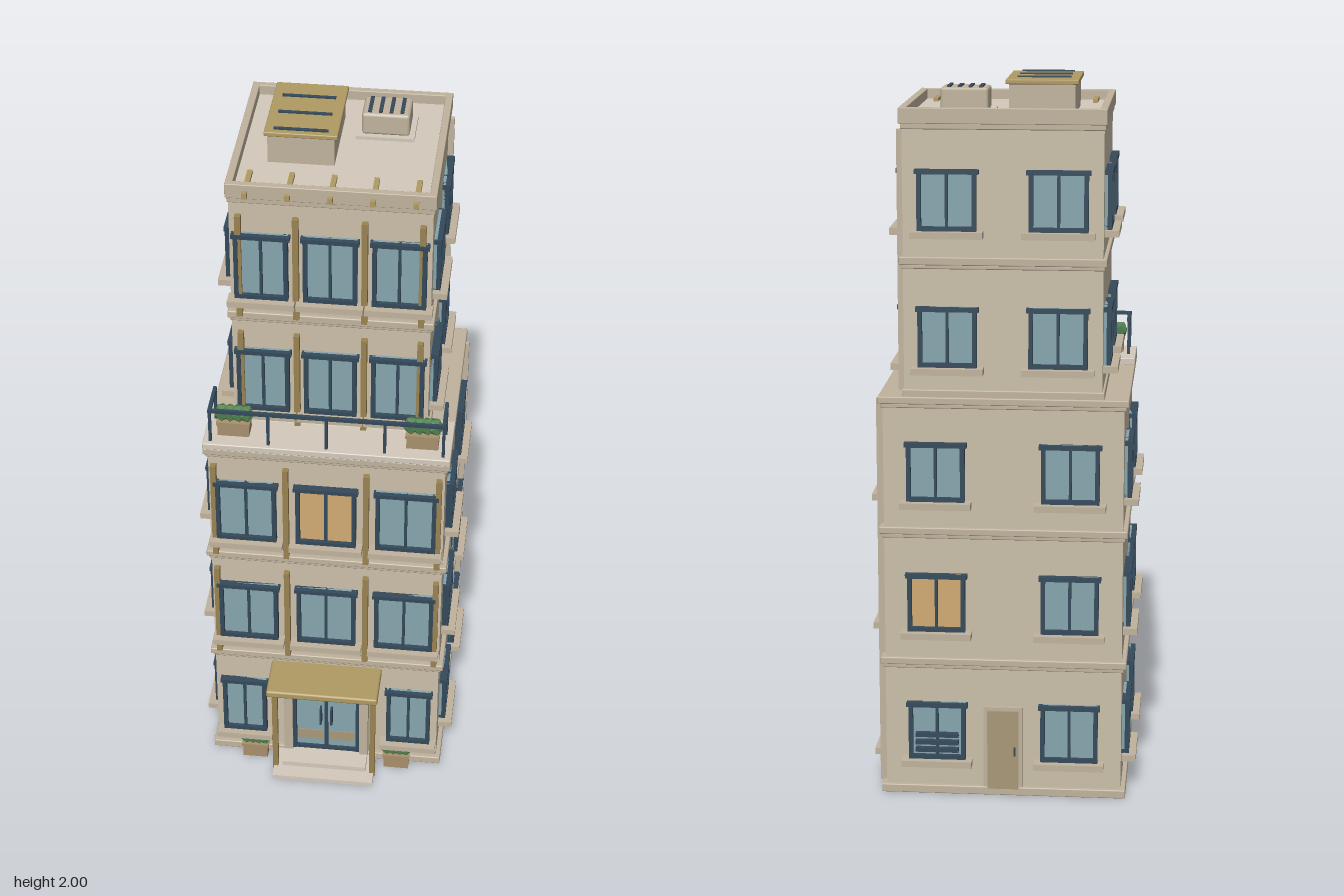
import * as THREE from 'three';
import { RoundedBoxGeometry } from 'three/addons/geometries/RoundedBoxGeometry.js';

const mat = (color) => new THREE.MeshStandardMaterial({ color });
const M = {
  wall: mat(0xcbbfa9), trim: mat(0xc0b39d), pale: mat(0xd3cabc), gold: mat(0xb09a62), bronze: mat(0x9a8352),
  dark: mat(0x34495a), glass: mat(0x86a5ae), lit: mat(0xd1ab72), leaf: mat(0x4f7f4f), pot: mat(0xa8906c),
  door: mat(0xa89878),
};

// Box given by its min and max corners
function box(parent, name, m, x0, x1, y0, y1, z0, z1, round = 0) {
  const w = x1 - x0, h = y1 - y0, d = z1 - z0;
  const geo = round ? new RoundedBoxGeometry(w, h, d, 1, round) : new THREE.BoxGeometry(w, h, d);
  const mesh = new THREE.Mesh(geo, m);
  mesh.position.set((x0 + x1) / 2, (y0 + y1) / 2, (z0 + z1) / 2);
  mesh.name = name;
  parent.add(mesh);
  return mesh;
}

function group(parent, name, x = 0, y = 0, z = 0, ry = 0) {
  const g = new THREE.Group();
  g.name = name;
  g.position.set(x, y, z);
  g.rotation.y = ry;
  parent.add(g);
  return g;
}

// Window with its bottom centre at the group origin, facing local +z
function windowUnit(parent, name, x, y, z, ry, w, h, bars, glass = M.glass) {
  const g = group(parent, name, x, y, z, ry), a = w / 2, t = 0.012;
  box(g, 'pane', glass, -a, a, 0, h, -0.005, 0.008);
  for (const s of [-1, 1]) box(g, 'frameSide', M.dark, s * (a - t / 2) - t / 2, s * (a - t / 2) + t / 2, 0, h, 0, 0.02);
  box(g, 'frameBottom', M.dark, -a, a, 0, t, 0, 0.02);
  box(g, 'frameTop', M.dark, -a - 0.006, a + 0.006, h - t, h, 0, 0.022);
  for (let i = 1; i <= bars; i++) {
    const bx = -a + (w * i) / (bars + 1);
    box(g, 'mullion', M.dark, bx - 0.004, bx + 0.004, 0, h, 0, 0.016);
  }
  box(g, 'sill', M.trim, -a - 0.018, a + 0.018, -0.018, 0, -0.005, 0.04);
  return g;
}

// Planter box with a row of faceted shrubs
function planter(parent, name, x, y, z, w, h, d, r) {
  const g = group(parent, name, x, y, z);
  box(g, 'pot', M.pot, -w / 2, w / 2, 0, h, -d / 2, d / 2);
  box(g, 'potRim', M.pot, -w / 2 - 0.003, w / 2 + 0.003, h - 0.01, h, -d / 2 - 0.003, d / 2 + 0.003);
  const leaf = M.leaf.clone();
  leaf.flatShading = true;
  for (let i = 0; i < 4; i++) {
    const shrub = new THREE.Mesh(new THREE.IcosahedronGeometry(r, 0), leaf);
    shrub.name = 'shrub';
    shrub.scale.set(0.85, 1, d / r / 2.1);
    shrub.rotation.y = i * 0.15;
    shrub.position.set((i - 1.5) * (w / 4), h + r * 0.55, 0);
    g.add(shrub);
  }
}

export function createModel() {
  const root = new THREE.Group();
  root.name = 'building';
  const back = -0.365;
  const low = { x: 0.33, z: 0.27 }, up = { x: 0.27, z: 0.155 };

  // Wall blocks, plinth and floor bands
  box(root, 'lowerWalls', M.wall, -low.x, low.x, 0, 1.14, back, low.z);
  box(root, 'upperWalls', M.wall, -up.x, up.x, 1.14, 1.9, back, up.z);
  const band = (name, b, y0, y1, o) => box(root, name, M.trim, -b.x - o, b.x + o, y0, y1, back - o, b.z + o, 0.003);
  band('plinth', low, 0, 0.024, 0.013);
  for (const y of [0.38, 0.757, 1.125]) {
    band('floorBand', low, y, y + 0.02, 0.013);
    band('floorBandLower', low, y - 0.012, y + 0.001, 0.006);
  }
  band('upperBase', up, 1.14, 1.165, 0.006);
  band('floorBand', up, 1.508, 1.53, 0.01);
  band('floorBandLower', up, 1.497, 1.509, 0.004);
  band('cornice', up, 1.872, 1.89, 0.004);

  // Windows and pilasters on every storey
  const baseY = [0, 0.375, 0.748, 1.125, 1.497];
  baseY.forEach((y, f) => {
    const lower = f < 3, b = lower ? low : up;
    const fx = lower ? 0.225 : 0.185;
    const fw = f === 0 ? 0.13 : lower ? 0.17 : 0.145;
    for (const s of [-1, 0, 1]) {
      if (f === 0 && s === 0) continue;
      const px = f === 0 ? s * 0.245 : s * fx;
      windowUnit(root, 'frontWindow', px, y + 0.085, b.z, 0, fw, 0.2, 1, f === 2 && s === 0 ? M.lit : M.glass);
    }
    if (f > 0) {
      for (const px of lower ? [-0.315, -0.113, 0.113, 0.315] : [-0.245, -0.092, 0.092, 0.245]) {
        box(root, 'pilaster', M.bronze, px - 0.008, px + 0.008, y + 0.024, y + 0.34, b.z - 0.002, b.z + 0.018);
      }
    }
    for (const s of [-1, 1]) {
      for (const z of lower ? [0.118, -0.22] : [0.03, -0.245]) {
        windowUnit(root, 'sideWindow', s * b.x, y + 0.105, z, (s * Math.PI) / 2, 0.15, 0.16, 2);
      }
      const g = windowUnit(root, 'backWindow', s * (lower ? 0.185 : 0.15), y + 0.105, back, Math.PI, 0.16, 0.165, 1,
        f === 1 && s === 1 ? M.lit : M.glass);
      if (f === 0 && s === 1) {
        for (let i = 0; i < 3; i++) box(g, 'louver', M.dark, -0.06, 0.06, 0.022 + i * 0.022, 0.034 + i * 0.022, 0, 0.024);
      }
    }
  });

  // Back door
  box(root, 'backDoorFrame', M.trim, -0.055, 0.055, 0.02, 0.26, back - 0.01, back);
  box(root, 'backDoor', M.door, -0.044, 0.044, 0.02, 0.25, back - 0.016, back);
  box(root, 'backDoorHandle', M.dark, -0.036, -0.03, 0.12, 0.145, back - 0.022, back);

  // Drain pipes near the right rear corner
  box(root, 'drainPipe', M.trim, 0.33, 0.352, 0.02, 1.13, -0.335, -0.318);
  box(root, 'drainPipe', M.trim, 0.27, 0.286, 1.16, 1.87, -0.355, -0.338);

  // Entrance: steps, surround, double door, canopy on posts
  const e = group(root, 'entrance');
  box(e, 'stepLower', M.pale, -0.15, 0.15, 0, 0.014, 0.27, 0.4);
  box(e, 'stepUpper', M.pale, -0.125, 0.125, 0.014, 0.03, 0.27, 0.355);
  for (const s of [-1, 1]) {
    box(e, 'doorSurround', M.trim, s * 0.113 - 0.013, s * 0.113 + 0.013, 0.02, 0.345, 0.265, 0.3);
    box(e, 'doorFrame', M.dark, s * 0.095 - 0.006, s * 0.095 + 0.006, 0.03, 0.33, 0.265, 0.292);
    box(e, 'doorLeaf', M.glass, s * 0.047 - 0.045, s * 0.047 + 0.045, 0.03, 0.325, 0.265, 0.28);
    box(e, 'kickPanel', M.door, s * 0.047 - 0.038, s * 0.047 + 0.038, 0.065, 0.1, 0.27, 0.283);
    box(e, 'doorHandle', M.dark, s * 0.016 - 0.003, s * 0.016 + 0.003, 0.14, 0.2, 0.28, 0.3);
    box(e, 'canopyPost', M.bronze, s * 0.145 - 0.008, s * 0.145 + 0.008, 0, 0.34, 0.343, 0.359);
  }
  box(e, 'doorFrameTop', M.dark, -0.1, 0.1, 0.318, 0.33, 0.265, 0.292);
  box(e, 'doorFrameBottom', M.dark, -0.1, 0.1, 0.03, 0.04, 0.265, 0.29);
  box(e, 'doorMeeting', M.dark, -0.005, 0.005, 0.03, 0.325, 0.265, 0.288);
  box(e, 'lintel', M.trim, -0.126, 0.126, 0.33, 0.345, 0.265, 0.3);
  box(e, 'canopy', M.gold, -0.163, 0.163, 0.337, 0.36, 0.265, 0.406, 0.006);

  // Terrace with railing
  const t = group(root, 'terrace');
  box(t, 'terraceSlab', M.pale, -0.343, 0.343, 1.143, 1.163, 0.1, 0.283, 0.003);
  box(t, 'frontRail', M.dark, -0.327, 0.327, 1.26, 1.27, 0.26, 0.27);
  for (const s of [-1, 1]) {
    box(t, 'sideRail', M.dark, s * 0.322 - 0.005, s * 0.322 + 0.005, 1.26, 1.27, 0.158, 0.27);
    box(t, 'railPost', M.dark, s * 0.322 - 0.004, s * 0.322 + 0.004, 1.16, 1.265, 0.158, 0.166);
  }
  for (let i = -2; i <= 2; i++) {
    box(t, 'railPost', M.dark, i * 0.161 - 0.004, i * 0.161 + 0.004, 1.16, 1.265, 0.261, 0.269);
  }
  for (const s of [-1, 1]) {
    planter(root, 'terracePlanter', s * 0.262, 1.163, 0.212, 0.088, 0.045, 0.054, 0.028);
    planter(root, 'groundPlanter', s * 0.213, 0, 0.296, 0.074, 0.05, 0.034, 0.022);
  }

  // Roof deck, parapet and beam ends
  const r = group(root, 'roof');
  box(r, 'roofDeck', M.pale, -0.265, 0.265, 1.89, 1.902, -0.37, 0.155);
  for (const s of [-1, 1]) {
    box(r, 'parapetSide', M.trim, s * 0.268 - 0.01, s * 0.268 + 0.01, 1.888, 1.93, -0.38, 0.163, 0.002);
  }
  box(r, 'parapetFront', M.trim, -0.278, 0.278, 1.888, 1.93, 0.143, 0.163, 0.002);
  box(r, 'parapetBack', M.trim, -0.278, 0.278, 1.888, 1.93, -0.38, -0.36, 0.002);
  for (let i = -2; i <= 2; i++) {
    box(r, 'roofBeam', M.gold, i * 0.1125 - 0.007, i * 0.1125 + 0.007, 1.895, 1.912, 0.055, 0.176);
  }

  // Stair housing with a slatted lid
  box(r, 'stairHousing', M.trim, -0.187, -0.008, 1.9, 1.986, -0.262, -0.006);
  box(r, 'housingLid', M.gold, -0.196, 0.001, 1.983, 1.996, -0.27, 0.001, 0.003);
  for (const z of [-0.197, -0.109, -0.021]) box(r, 'lidBar', M.dark, -0.171, -0.026, 1.99, 2, z - 0.005, z + 0.005);

  // Cooling unit on its pad
  box(r, 'coolingPad', M.pale, 0.032, 0.191, 1.9, 1.912, -0.28, -0.149);
  box(r, 'coolingUnit', M.trim, 0.047, 0.177, 1.91, 1.973, -0.266, -0.163, 0.008);
  for (let i = 0; i < 4; i++) {
    const x = 0.068 + i * 0.029;
    box(r, 'coolingSlat', M.dark, x - 0.005, x + 0.005, 1.968, 1.977, -0.255, -0.174);
  }
  return root;
}
